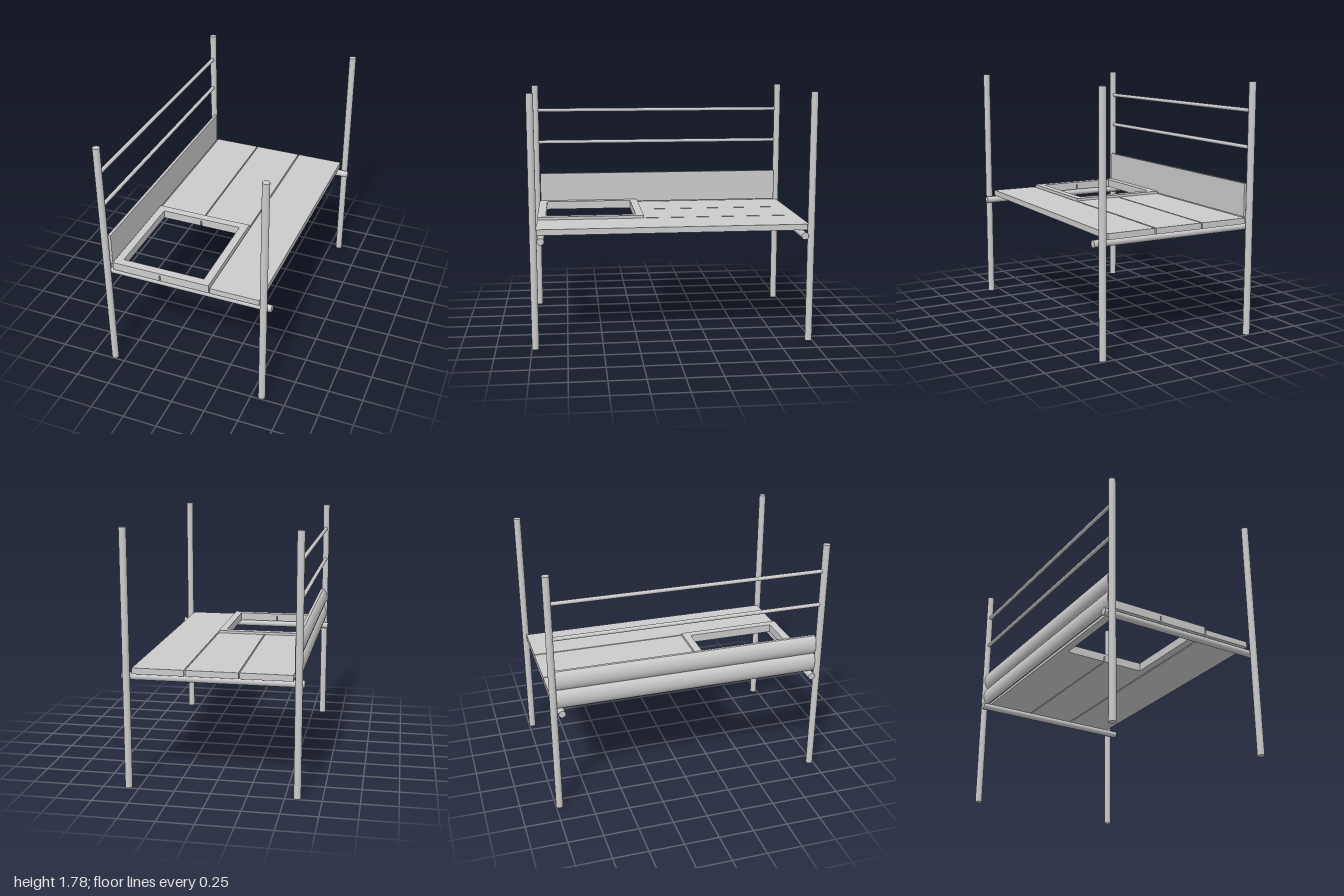
import * as THREE from 'three';
import { toCreasedNormals } from 'three/addons/utils/BufferGeometryUtils.js';

const material = new THREE.MeshStandardMaterial({ color: 0xcccccc });
const POST_R = 0.025;
const LEFT_X = -0.583, RIGHT_X = 0.575, POST_Z = 0.975;

export function createModel() {
  const group = new THREE.Group();

  const add = (name, geometry, x = 0, y = 0, z = 0) => {
    const mesh = new THREE.Mesh(geometry, material);
    mesh.name = name;
    mesh.position.set(x, y, z);
    group.add(mesh);
    return mesh;
  };

  // Closed outline from [x, z] corners, lying flat once extruded
  const outline = (points, Type = THREE.Shape) =>
    new Type(points.map(([x, z]) => new THREE.Vector2(x, -z)));

  // Flat slab from an outline, between two heights
  const slab = (name, shape, y0, y1) => {
    const geometry = new THREE.ExtrudeGeometry(shape, { depth: y1 - y0, bevelEnabled: false });
    geometry.rotateX(-Math.PI / 2);
    return add(name, geometry, 0, y0, 0);
  };

  // Four corner posts
  for (const x of [LEFT_X, RIGHT_X]) {
    for (const z of [-POST_Z, POST_Z]) {
      add('cornerPost', new THREE.CylinderGeometry(POST_R, POST_R, 1.78, 32), x, 0.89, z);
    }
  }

  // Crossbeams under the deck, tangent to the posts
  for (const z of [-0.923, 0.923]) {
    const beam = new THREE.CylinderGeometry(POST_R, POST_R, 1.236, 32).rotateZ(Math.PI / 2);
    add('crossbeam', beam, 0, 0.773, z);
  }

  // Guard rails on one side
  for (const y of [1.33, 1.583]) {
    const rail = new THREE.CylinderGeometry(0.014, 0.014, 1.95, 24).rotateX(Math.PI / 2);
    add('guardRail', rail, LEFT_X, y, 0);
  }

  // Deck: one whole plank, two planks cut around the hatch
  const back = -0.974, front = 0.955, bottom = 0.8, top = 0.842;
  const hatch = { x0: -0.492, x1: 0.115, z0: 0.235, z1: 0.895 };
  slab('wholePlank', outline([[0.182, back], [0.182, front], [0.536, front], [0.536, back]]), bottom, top);
  const cutPlank = (outer, inner, cut) => slab('cutPlank', outline([
    [outer, back], [outer, front], [inner, front], [inner, hatch.z1],
    [cut, hatch.z1], [cut, hatch.z0], [inner, hatch.z0], [inner, back],
  ]), bottom, top);
  cutPlank(-0.547, -0.194, hatch.x0);
  cutPlank(0.172, -0.185, hatch.x1);

  // Raised frame around the hatch opening
  const frame = outline([[-0.547, 0.177], [-0.547, front], [0.172, front], [0.172, 0.177]]);
  frame.holes.push(outline([
    [hatch.x0, hatch.z0], [hatch.x1, hatch.z0], [hatch.x1, hatch.z1], [hatch.x0, hatch.z1],
  ], THREE.Path));
  slab('hatchFrame', frame, top, 0.861);

  // Side board: flat inside with a rebate below, two rounded ridges outside
  const profile = new THREE.Shape();
  profile.moveTo(-0.566, 0.8);
  profile.lineTo(-0.566, 0.845);
  profile.lineTo(-0.552, 0.845);
  profile.lineTo(-0.552, 1.08);
  profile.lineTo(-0.572, 1.08);
  profile.bezierCurveTo(-0.612, 1.05, -0.612, 0.97, -0.574, 0.94);
  profile.bezierCurveTo(-0.612, 0.91, -0.612, 0.83, -0.574, 0.8);
  profile.closePath();
  const board = new THREE.ExtrudeGeometry(profile, { depth: 1.9, bevelEnabled: false, curveSegments: 12 });
  add('sideBoard', toCreasedNormals(board, 0.6), 0, 0, -0.953);

  return group;
}
